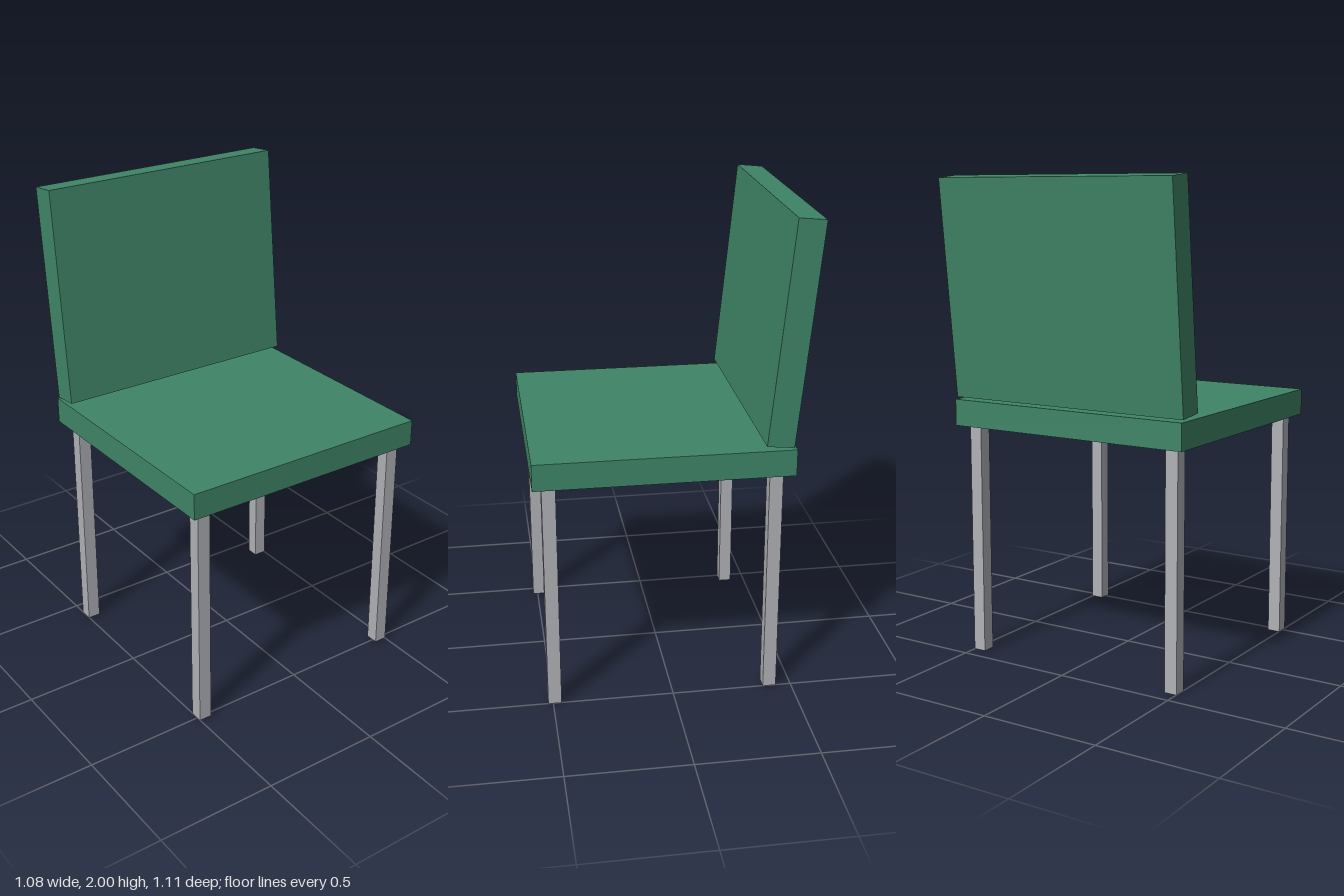
import * as THREE from 'three';

export function createModel() {
  const chair = new THREE.Group();
  chair.name = 'chair';
  const green = new THREE.MeshStandardMaterial({ color: 0x3f8567 });
  green.name = 'green upholstery';
  const grey = new THREE.MeshStandardMaterial({ color: 0xb0b2b7 });
  grey.name = 'grey metal';

  function addBox(name, size, position, material) {
    const mesh = new THREE.Mesh(new THREE.BoxGeometry(...size), material);
    mesh.name = name;
    mesh.position.set(...position);
    chair.add(mesh);
    return mesh;
  }

  // Seat slab
  addBox('seat', [1.084, 0.11, 1.038], [0, 1.03, 0.039], green);

  // Backrest, leaning back and floating just above the seat
  const backrest = addBox('backrest', [1.084, 0.9, 0.11], [0, 1.547, -0.457], green);
  backrest.rotation.x = -0.1;

  // Four square legs
  const legHeight = 0.975;
  for (const [side, x] of [['Left', 0.474], ['Right', -0.474]]) {
    for (const [end, z] of [['front', 0.493], ['back', -0.409]]) {
      addBox(`${end}${side}Leg`, [0.055, legHeight, 0.055], [x, legHeight / 2, z], grey);
    }
  }
  return chair;
}
